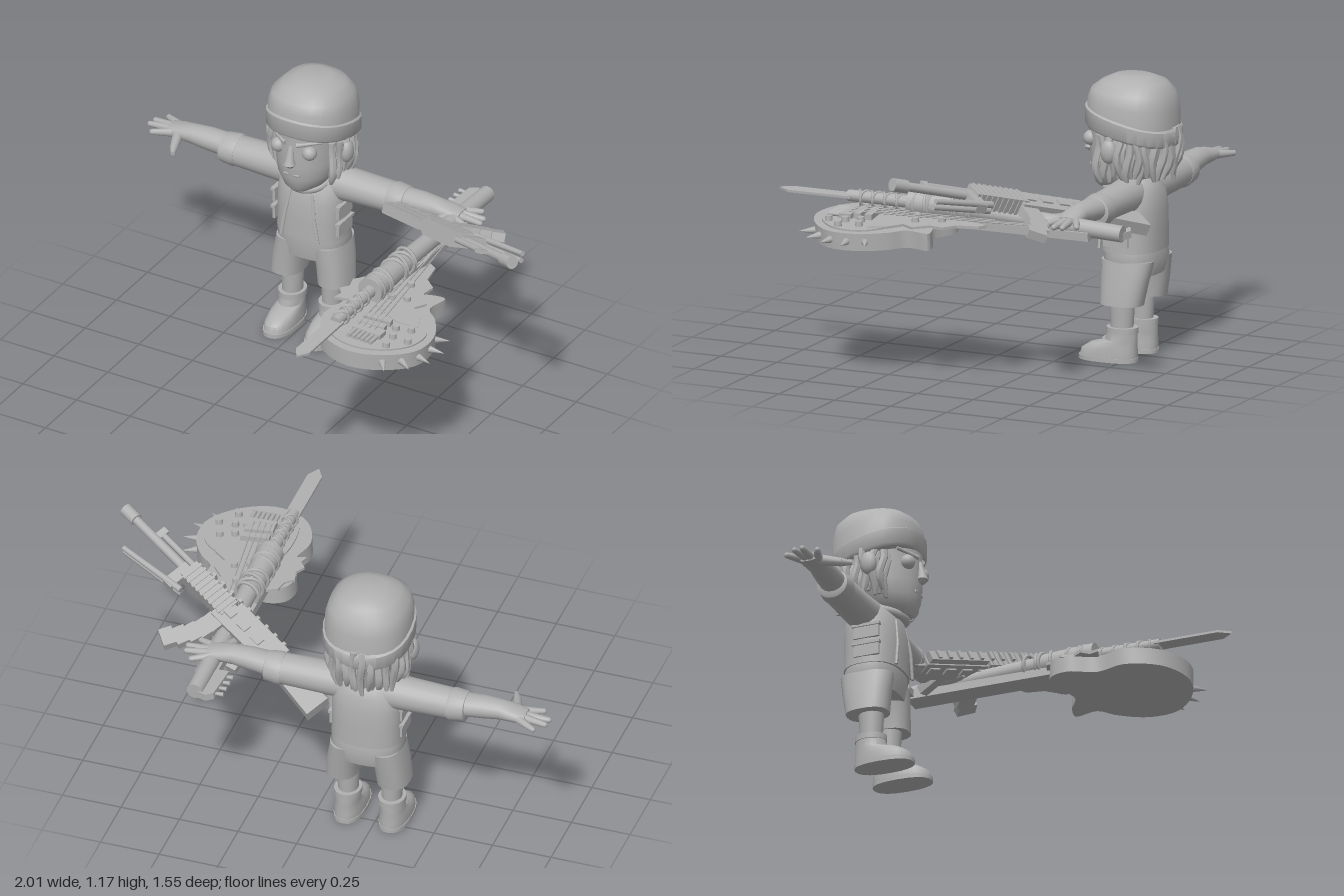
import * as THREE from 'three';
import { toCreasedNormals } from 'three/addons/utils/BufferGeometryUtils.js';

const grey = new THREE.MeshStandardMaterial({ color: 0xb0b0b0 });
grey.name = 'plain grey';

const V = (x, y, z) => new THREE.Vector3(x, y, z);

function add(parent, name, geo, x = 0, y = 0, z = 0) {
  const m = new THREE.Mesh(geo, grey);
  m.name = name;
  m.position.set(x, y, z);
  parent.add(m);
  return m;
}
function box(parent, name, w, h, d, x, y, z) {
  return add(parent, name, new THREE.BoxGeometry(w, h, d), x, y, z);
}
// tapered rod between two points
function rod(parent, name, a, b, r1, r2, seg = 10) {
  const d = b.clone().sub(a);
  const m = add(parent, name, new THREE.CylinderGeometry(r2, r1, d.length(), seg));
  m.position.copy(a).addScaledVector(d, 0.5);
  m.quaternion.setFromUnitVectors(V(0, 1, 0), d.normalize());
  return m;
}
// closed skin over superellipse rings: [y, rx, rz, cz, power, tilt, cx]
function loft(rings, seg = 24, crease = 0.75) {
  const pos = [], idx = [];
  for (const [y, rx, rz, cz = 0, n = 2, tilt = 0, cx = 0] of rings) {
    for (let j = 0; j < seg; j++) {
      const a = (j / seg) * Math.PI * 2, c = Math.cos(a), s = Math.sin(a);
      const z = Math.sign(s) * Math.abs(s) ** (2 / n) * rz;
      pos.push(cx + Math.sign(c) * Math.abs(c) ** (2 / n) * rx, y + tilt * z, cz + z);
    }
  }
  const ends = [rings[0], rings[rings.length - 1]], base = rings.length * seg;
  for (const e of ends) pos.push(e[6] || 0, e[0], e[3] || 0);
  for (let j = 0; j < seg; j++) {
    const k = (j + 1) % seg, top = base - seg;
    idx.push(base, j, k, base + 1, top + k, top + j);
    for (let i = 0; i < rings.length - 1; i++) {
      const p = i * seg + j, q = i * seg + k;
      idx.push(p, p + seg, q, q, p + seg, q + seg);
    }
  }
  const g = new THREE.BufferGeometry();
  g.setAttribute('position', new THREE.Float32BufferAttribute(pos, 3));
  g.setIndex(idx);
  return toCreasedNormals(g, crease);
}
// outline given as x, z, extruded downward
function slab(points, depth, smooth) {
  const pts = points.map(([x, z]) => V(x, z, 0));
  const line = smooth ? new THREE.CatmullRomCurve3(pts, true).getPoints(64).slice(0, -1) : pts;
  const shape = new THREE.Shape(line.map(p => new THREE.Vector2(p.x, p.y)));
  return new THREE.ExtrudeGeometry(shape, { depth, bevelEnabled: false }).rotateX(Math.PI / 2);
}

function buildHead(f) {
  add(f, 'head', loft([[0.7, 0.05, 0.07, -0.42], [0.72, 0.085, 0.105, -0.44], [0.77, 0.12, 0.145, -0.465],
    [0.83, 0.135, 0.165, -0.48], [0.9, 0.138, 0.17, -0.485], [1.0, 0.15, 0.175, -0.49]]));
  // knitted cap with a tilted turned-up band
  add(f, 'cap', loft([[0.98, 0.176, 0.184, -0.5, 2.4, 0.25], [1.06, 0.174, 0.18, -0.5, 2.4, 0.12],
    [1.11, 0.158, 0.165, -0.5, 2.5, 0.05], [1.145, 0.122, 0.13, -0.5, 2.4], [1.168, 0.07, 0.08, -0.5]], 28));
  add(f, 'capBand', loft([[0.93, 0.176, 0.186, -0.5, 2.3, 0.22], [0.94, 0.184, 0.193, -0.5, 2.3, 0.22],
    [1.0, 0.184, 0.193, -0.5, 2.3, 0.25], [1.008, 0.174, 0.184, -0.5, 2.3, 0.25]], 28));
  add(f, 'nose', loft([[0.835, 0.014, 0.012, -0.31], [0.85, 0.026, 0.025, -0.307], [0.868, 0.018, 0.02, -0.31],
    [0.93, 0.011, 0.012, -0.32]], 12));
  rod(f, 'mouth', V(-0.035, 0.792, -0.326), V(0.035, 0.792, -0.326), 0.007, 0.007);
  for (const s of [-1, 1]) {
    add(f, 'eye', new THREE.SphereGeometry(0.031, 16, 12), s * 0.072, 0.905, -0.342);
    rod(f, 'brow', V(s * 0.025, 0.94, -0.317), V(s * 0.118, 0.955, -0.37), 0.011, 0.007);
    add(f, 'ear', new THREE.SphereGeometry(0.05, 12, 10), s * 0.175, 0.88, -0.47).scale.set(0.5, 1, 0.7);
  }
  // dreadlocks around the sides and back
  for (let row = 0; row < 2; row++) {
    for (let i = 0; i < 21; i++) {
      const a = -0.55 + (i + row * 0.5) / 20.5 * (Math.PI + 1.1), r = 0.93 - row * 0.12;
      const dx = Math.cos(a), dz = -Math.sin(a), low = 0.74 + 0.035 * Math.abs(Math.sin(i * 2.3 + row));
      const rings = [];
      for (let k = 0; k <= 5; k++) {
        const t = k / 5, out = r + 0.1 * Math.sin(t * 2.6), w = 0.008 * Math.sin(t * 6 + i * 1.7);
        const rad = k === 0 ? 0.008 : 0.0165;
        rings.push([low + t * (0.95 + dz * -0.02 - low), rad, rad, -0.5 + dz * 0.178 * out + w, 2, 0, dx * 0.165 * out + w]);
      }
      add(f, 'dreadlock', loft(rings, 7));
    }
  }
}

function buildBody(f) {
  add(f, 'torso', loft([[0.455, 0.15, 0.122, -0.507, 2.5], [0.54, 0.148, 0.122, -0.507, 2.5], [0.62, 0.15, 0.12, -0.508, 2.4],
    [0.69, 0.145, 0.108, -0.51, 2.3], [0.74, 0.11, 0.085, -0.51], [0.765, 0.06, 0.06, -0.5]], 28));
  const collar = add(f, 'collar', new THREE.TorusGeometry(0.085, 0.018, 8, 24), 0, 0.715, -0.468);
  collar.rotation.x = Math.PI / 2 + 0.25;
  add(f, 'hips', loft([[0.355, 0.13, 0.105, -0.51, 2.5], [0.42, 0.152, 0.118, -0.512, 2.5], [0.47, 0.143, 0.112, -0.507, 2.5]], 28));
  for (const s of [-1, 1]) {
    add(f, 'vestEdge', loft([[0.455, 0.008, 0.007, -0.386, 2, 0, s * 0.085], [0.56, 0.008, 0.007, -0.386, 2, 0, s * 0.068],
      [0.67, 0.008, 0.007, -0.402, 2, 0, s * 0.05]], 8));
    for (const y of [0.51, 0.59]) {
      box(f, 'vestPocket', 0.012, 0.055, 0.11, s * 0.149, y, -0.49);
      box(f, 'pocketFlap', 0.02, 0.012, 0.12, s * 0.151, y + 0.028, -0.49);
    }
    add(f, 'shortsLeg', loft([[0.24, 0.066, 0.09, -0.5, 2.5, 0, s * 0.109], [0.33, 0.066, 0.1, -0.507, 2.5, 0, s * 0.1],
      [0.42, 0.07, 0.112, -0.513, 2.4, 0, s * 0.08]]));
    add(f, 'shin', loft([[0.12, 0.041, 0.046, -0.492, 2, 0, s * 0.093], [0.28, 0.047, 0.055, -0.492, 2, 0, s * 0.093]], 16));
    add(f, 'boot', loft([[0.014, 0.06, 0.124, -0.434, 2.4, 0, s * 0.096], [0.045, 0.06, 0.12, -0.438, 2.4, 0, s * 0.096],
      [0.07, 0.056, 0.1, -0.457, 2.2, 0, s * 0.096], [0.088, 0.052, 0.068, -0.49, 2, 0, s * 0.095],
      [0.125, 0.052, 0.063, -0.493, 2, 0, s * 0.094]], 20));
    add(f, 'bootCuff', loft([[0.118, 0.056, 0.067, -0.493, 2, 0, s * 0.094], [0.143, 0.056, 0.067, -0.493, 2, 0, s * 0.094]], 20));
    add(f, 'sole', loft([[0, 0.063, 0.128, -0.433, 2.4, 0, s * 0.096], [0.018, 0.063, 0.128, -0.433, 2.4, 0, s * 0.096]], 20));
  }
}

function buildArm(f, side) {
  const arm = new THREE.Group();
  arm.name = side > 0 ? 'leftArm' : 'rightArm';
  arm.scale.x = side;
  f.add(arm);
  const lay = (name, rings) => { add(arm, name, loft(rings, 20), 0, 0.69, 0).rotation.z = -Math.PI / 2; };
  lay('sleeve', [[0.06, 0.075, 0.075, -0.515], [0.18, 0.069, 0.072, -0.522], [0.37, 0.063, 0.068, -0.525]]);
  lay('sleeveCuff', [[0.355, 0.064, 0.07, -0.525], [0.37, 0.068, 0.073, -0.525], [0.425, 0.062, 0.066, -0.525], [0.43, 0.05, 0.055, -0.525]]);
  lay('forearm', [[0.4, 0.048, 0.056, -0.525, 2, 0, -0.01], [0.5, 0.046, 0.053, -0.522, 2, 0, -0.016],
    [0.57, 0.04, 0.046, -0.52, 2, 0, -0.018], [0.63, 0.029, 0.05, -0.522, 2.3, 0, -0.016], [0.68, 0.02, 0.046, -0.525, 2.3, 0, -0.012]]);
  const tips = [[0.73, -0.595, -0.55], [0.765, -0.548, -0.533], [0.77, -0.512, -0.517], [0.732, -0.462, -0.495]];
  for (const [x, z, z0] of tips) {
    rod(arm, 'finger', V(0.645, 0.704, z0), V(x, 0.697, z), 0.019, 0.012);
    add(arm, 'fingertip', new THREE.SphereGeometry(0.012, 8, 6), x, 0.697, z);
  }
  rod(arm, 'thumb', V(0.63, 0.703, -0.5), V(0.6, 0.69, -0.41), 0.024, 0.017);
  rod(arm, 'thumbTip', V(0.6, 0.69, -0.41), V(0.582, 0.688, -0.37), 0.017, 0.009);
}

// rifle lies on its side: local x along the barrel, local y toward its sights
function buildRifle(root) {
  const g = new THREE.Group();
  g.name = 'rifle';
  const a = V(0.84, 0.248, 0.48).normalize(), u = V(-0.54, 0.33, 0.77);
  u.addScaledVector(a, -u.dot(a)).normalize();
  g.setRotationFromMatrix(new THREE.Matrix4().makeBasis(a, u, a.clone().cross(u)));
  g.position.set(-0.05, 0.6, -0.62);
  root.add(g);
  add(g, 'stock', slab([[0, -0.06], [0, 0.05], [0.3, 0.04], [0.3, -0.04], [0.2, -0.04]], 0.05).rotateX(-Math.PI / 2), 0, 0, -0.025);
  box(g, 'receiver', 0.36, 0.095, 0.056, 0.45, 0.005, 0);
  box(g, 'topCover', 0.3, 0.03, 0.044, 0.43, 0.065, 0);
  box(g, 'handguard', 0.26, 0.085, 0.064, 0.72, 0.025, 0);
  for (let i = 0; i < 9; i++) {
    box(g, 'handguardRib', 0.014, 0.095, 0.07, 0.61 + i * 0.027, 0.025, 0);
    box(g, 'railTooth', 0.016, 0.014, 0.036, 0.32 + i * 0.055, 0.084, 0);
  }
  for (let i = 0; i < 4; i++) for (const s of [-1, 1]) box(g, 'sidePlate', 0.05, 0.035, 0.01, 0.32 + i * 0.085, 0.015, s * 0.03);
  rod(g, 'barrel', V(0.8, 0.02, 0), V(1.24, 0.02, 0), 0.02, 0.018, 14);
  rod(g, 'gasTube', V(0.8, 0.055, 0), V(1.05, 0.055, 0), 0.013, 0.013);
  rod(g, 'muzzle', V(1.18, 0.02, 0), V(1.25, 0.02, 0), 0.027, 0.027, 14);
  box(g, 'frontSight', 0.03, 0.06, 0.016, 1.06, 0.05, 0);
  box(g, 'barrelBlock', 0.05, 0.12, 0.04, 0.86, -0.025, 0);
  for (const s of [-1, 1]) rod(g, 'bipodLeg', V(0.8, -0.06, s * 0.014), V(1.11, -0.105, s * 0.014), 0.014, 0.011);
  box(g, 'grip', 0.045, 0.12, 0.035, 0.4, -0.09, 0).rotation.z = -0.3;
  const guard = add(g, 'triggerGuard', new THREE.TorusGeometry(0.03, 0.006, 6, 14), 0.48, -0.05, 0);
  guard.scale.x = 1.3;
  // curved magazine
  for (let i = 0; i < 5; i++) box(g, 'magazine', 0.08, 0.055, 0.036, 0.6 + 0.0045 * i * i, -0.065 - i * 0.043, 0).rotation.z = i * 0.1;
}

function buildGuitar(root) {
  const g = new THREE.Group();
  g.name = 'guitar';
  g.position.set(0.5, 0.655, 0);
  g.rotation.z = -0.05;
  root.add(g);
  add(g, 'guitarBody', toCreasedNormals(slab([[-0.1, 0], [-0.18, 0.03], [-0.2, 0.11], [-0.155, 0.22], [-0.18, 0.35], [-0.11, 0.49],
    [0.03, 0.545], [0.17, 0.5], [0.275, 0.39], [0.28, 0.26], [0.22, 0.15], [0.16, 0.09], [0.175, -0.01], [0.11, 0.0], [0.02, 0.05]], 0.072, true), 0.6));
  add(g, 'bodyTrim', slab([[-0.09, 0.2], [0.05, 0.15], [0.18, 0.19], [0.25, 0.27], [0.24, 0.38], [0.14, 0.48], [0.02, 0.51], [-0.09, 0.46]], 0.008, true), 0, 0.007, 0);
  // torn metal plates
  add(g, 'hornPlate', slab([[-0.03, 0.2], [-0.02, -0.1], [0.0, -0.19], [0.035, -0.17], [0.05, -0.08], [0.1, -0.04], [0.09, 0.02],
    [0.14, 0.08], [0.11, 0.13], [0.17, 0.18], [0.2, 0.25], [0.1, 0.26]], 0.012), 0, 0.01, 0);
  add(g, 'edgePlate', slab([[-0.11, -0.02], [-0.16, -0.0], [-0.17, 0.05], [-0.205, 0.08], [-0.19, 0.13], [-0.215, 0.17], [-0.19, 0.2],
    [-0.2, 0.24], [-0.11, 0.21]], 0.012), 0, 0.008, 0);
  // neck, head and club handle
  box(g, 'neck', 0.09, 0.035, 0.7, -0.07, -0.005, -0.28);
  add(g, 'headstock', slab([[-0.16, -0.6], [-0.15, -0.76], [-0.12, -0.78], [-0.06, -0.76], [-0.06, -0.6]], 0.03), 0, 0.015, 0);
  for (let i = 0; i < 4; i++) rod(g, 'tuningPeg', V(-0.14, 0, -0.74 + i * 0.04), V(-0.185, 0, -0.74 + i * 0.04), 0.006, 0.01, 8);
  rod(g, 'clubHandle', V(-0.07, 0.012, -0.765), V(-0.07, 0.05, 0.0), 0.034, 0.04, 16);
  rod(g, 'clubHead', V(-0.07, 0.045, -0.08), V(-0.07, 0.05, 0.18), 0.046, 0.055, 16);
  for (let i = 0; i < 7; i++) {
    const t = add(g, 'wrap', new THREE.TorusGeometry(0.052, 0.008, 6, 18), -0.07, 0.045, -0.11 + i * 0.032 + (i > 3 ? 0.06 : 0));
    t.rotation.y = i % 2 ? 0.22 : -0.18;
  }
  // bayonet
  rod(g, 'bayonetGrip', V(-0.07, 0.05, 0.17), V(-0.07, 0.05, 0.46), 0.027, 0.024, 12);
  for (let i = 0; i < 8; i++) {
    add(g, 'wire', new THREE.TorusGeometry(0.031, 0.006, 6, 14), -0.07, 0.045, 0.22 + i * 0.027).rotation.y = i % 2 ? 0.5 : -0.5;
  }
  add(g, 'blade', slab([[-0.1, 0.44], [-0.1, 0.72], [-0.07, 0.77], [-0.038, 0.72], [-0.038, 0.44]], 0.01), 0, 0.054, 0);
  // bridge, pickups, knobs and strings
  for (let i = 0; i < 6; i++) rod(g, 'bridgeSaddle', V(0.0 + i * 0.02, 0.018, 0.41), V(0.0 + i * 0.02, 0.018, 0.47), 0.009, 0.009, 8);
  box(g, 'bridge', 0.13, 0.025, 0.05, 0.05, 0.015, 0.39);
  for (const z of [0.3, 0.35]) box(g, 'pickup', 0.12, 0.03, 0.03, 0.04, 0.015, z).rotation.y = 0.12;
  for (const [x, z] of [[0.13, 0.31], [0.19, 0.29], [0.15, 0.37], [0.22, 0.37], [0.16, 0.44], [0.02, 0.0], [0.06, 0.1], [0.0, 0.12]]) {
    rod(g, 'knob', V(x, 0, z), V(x, 0.028, z), 0.017, 0.014, 12);
  }
  for (let i = 0; i < 4; i++) rod(g, 'string', V(-0.09 + i * 0.014, 0.018, -0.6), V(0.0 + i * 0.025, 0.03, 0.39), 0.003, 0.003, 5);
  // side spikes
  for (let i = 0; i < 5; i++) {
    const t = 1.0 - i * 0.36, c = Math.cos(t), s = Math.sin(t);
    rod(g, 'spike', V(0.05 + 0.225 * c, -0.035, 0.32 + 0.2 * s), V(0.05 + 0.3 * c, -0.035, 0.32 + 0.27 * s), 0.018, 0.001, 8);
  }
}

export function createModel() {
  const root = new THREE.Group();
  root.name = 'model';
  const figure = new THREE.Group();
  figure.name = 'figure';
  figure.position.x = -0.225;
  root.add(figure);
  buildHead(figure);
  buildBody(figure);
  for (const s of [-1, 1]) buildArm(figure, s);
  buildRifle(root);
  buildGuitar(root);
  return root;
}
